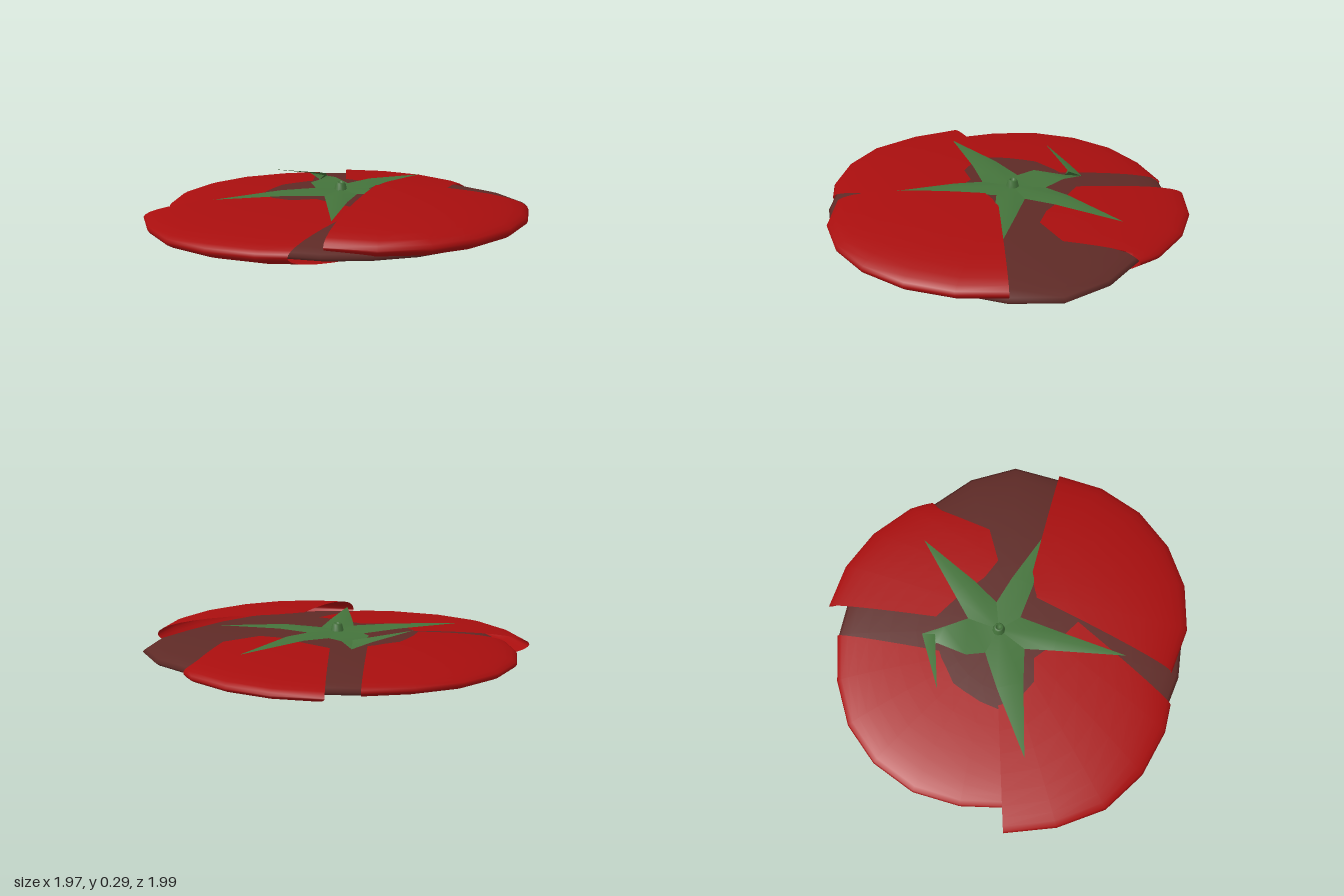
import * as THREE from 'three';

const mat = (color) => new THREE.MeshStandardMaterial({ color, side: THREE.DoubleSide });
const RED = mat(0xa80e0e), FLESH = mat(0x5e2a26), GREEN = mat(0x44733b);

function surface(points, index, material, name) {
  const g = new THREE.BufferGeometry();
  g.setAttribute('position', new THREE.Float32BufferAttribute(points, 3));
  g.setIndex(index);
  g.computeVertexNormals();
  const m = new THREE.Mesh(g, material);
  m.name = name;
  return m;
}

// Curved skin piece: each column runs from the top inner edge over the rim to the bottom inner edge.
function skin(name, { y, up, down, rim, top, bottom }) {
  const N = 9, rows = 2 * N + 1, pos = [], idx = [];
  rim.forEach((q, i) => {
    const R = Math.hypot(...q);
    for (let j = 0; j < rows; j++) {
      const k = Math.abs(j - N) / N;             // 0 at the rim, 1 at an inner edge
      const p = j < N ? top[i] : bottom[i];
      const s = k * k;
      const x = q[0] + (p[0] - q[0]) * s, z = q[1] + (p[1] - q[1]) * s;
      const f = Math.min(1, Math.hypot(x, z) / R);
      const h = Math.sqrt(1 - f * f) * (j < N ? up : -down);
      pos.push(x, y + h, z);
      if (i && j) {
        const a = (i - 1) * rows + j - 1, b = a + rows;
        idx.push(a, a + 1, b, b, a + 1, b + 1);
      }
    }
  });
  return surface(pos, idx, RED, name);
}

// Flattened core that bulges out where the skin has split.
function flesh() {
  const g = new THREE.SphereGeometry(1, 24, 16);
  const p = g.attributes.position;
  for (let i = 0; i < p.count; i++) {
    const x = p.getX(i), z = p.getZ(i), a = Math.atan2(z, x);
    const bump = x > 0 ? Math.abs(Math.sin(2 * a)) ** 3 * (z > 0 ? 0.12 : 0.05) : 0;
    const r = 0.89 + bump;
    p.setXYZ(i, x * r, 0.125 + p.getY(i) * 0.083, z * r);
  }
  g.computeVertexNormals();
  const m = new THREE.Mesh(g, FLESH);
  m.name = 'flesh';
  return m;
}

// Pointed leaf, two flat halves folded along a centre rib.
function leaf(v1, v2, tip, width, tipY) {
  const c = [0.06, -0.06];
  const dx = tip[0] - c[0], dz = tip[1] - c[1], L = Math.hypot(dx, dz);
  const at = (t, w) => [c[0] + dx * t - dz / L * w, c[1] + dz * t + dx / L * w];
  const P = ([x, z], y) => [x, y, z];
  const pos = [
    P(c, 0.23), P(v1, 0.225), P(at(0.45, -width), 0.232), P(at(0.45, 0), 0.245),
    P(at(0.45, width), 0.232), P(v2, 0.225), P(tip, tipY)].flat();
  return surface(pos, [0, 2, 1, 0, 3, 2, 0, 4, 3, 0, 5, 4, 3, 6, 2, 3, 4, 6], GREEN, 'leaf');
}

export function createModel() {
  const group = new THREE.Group();
  group.name = 'squashedTomato';
  group.add(flesh());

  group.add(skin('backSkin', {
    y: 0.125, up: 0.097, down: 0.09,
    rim: [[-0.61, -0.69], [-0.45, -0.84], [-0.23, -0.96], [0.02, -1], [0.26, -0.96], [0.48, -0.84], [0.67, -0.67]],
    top: [[-0.25, -0.36], [-0.15, -0.4], [-0.05, -0.42], [0.02, -0.43], [0.1, -0.4], [0.16, -0.38], [0.2, -0.36]],
    bottom: [[-0.15, -0.25], [-0.05, -0.22], [0.05, -0.25], [0.15, -0.3], [0.27, -0.35], [0.38, -0.42], [0.55, -0.58]],
  }));
  group.add(skin('rightSkin', {
    y: 0.122, up: 0.1, down: 0.09,
    rim: [[0.83, -0.59], [0.94, -0.37], [0.98, -0.13], [0.95, 0.12], [0.92, 0.18], [0.89, 0.23]],
    top: [[0.35, -0.24], [0.35, -0.1], [0.33, 0.1], [0.35, 0.22], [0.52, 0.32], [0.72, 0.21]],
    bottom: [[0.74, -0.4], [0.7, -0.22], [0.58, -0.05], [0.52, 0.12], [0.49, 0.3], [0.63, 0.45]],
  }));
  group.add(skin('leftSkin', {
    y: 0.12, up: 0.105, down: 0.12,
    rim: [[-0.7, -0.78], [-0.87, -0.57], [-0.98, -0.33], [-0.99, -0.07], [-0.92, 0.18], [-0.84, 0.31]],
    top: [[-0.23, -0.35], [-0.28, -0.25], [-0.27, -0.13], [-0.18, -0.04], [-0.2, 0.1], [-0.2, 0.27]],
    bottom: [[-0.32, -0.28], [-0.3, -0.18], [-0.24, -0.05], [-0.2, 0.1], [-0.18, 0.25], [-0.2, 0.4]],
  }));
  // Front piece, peeled upwards
  group.add(skin('frontSkinFlap', {
    y: 0.165, up: 0.128, down: 0.13,
    rim: [[-0.73, 0.43], [-0.63, 0.66], [-0.45, 0.84], [-0.23, 0.95], [0.02, 0.99], [0.27, 0.95], [0.49, 0.84]],
    top: [[0.03, 0.19], [0.03, 0.19], [0.04, 0.2], [0.06, 0.21], [0.09, 0.23], [0.12, 0.26], [0.15, 0.28]],
    bottom: [[-0.7, 0.43], [-0.5, 0.52], [-0.28, 0.44], [-0.1, 0.38], [0.08, 0.38], [0.25, 0.42], [0.4, 0.7]],
  }));

  // Leaves around the stem, sharing the notches between them
  const calyx = new THREE.Group();
  calyx.name = 'calyx';
  const notch = [[0.02, -0.2], [-0.11, -0.04], [0.03, 0.07], [0.18, 0.04], [0.22, -0.13]];
  calyx.add(
    leaf(notch[1], notch[0], [-0.52, -0.45], 0.07, 0.225),
    leaf(notch[2], notch[1], [-0.51, 0.31], 0.055, 0.225),
    leaf(notch[3], notch[2], [0.29, 0.56], 0.06, 0.215),
    leaf(notch[4], notch[3], [0.72, 0.02], 0.065, 0.21));
  // Leaf bent back on itself at its middle
  const folded = [
    0.06, 0.23, -0.06, 0.02, 0.225, -0.2, 0.22, 0.225, -0.13,
    0.08, 0.235, -0.28, 0.27, 0.235, -0.25,
    0.24, 0.215, -0.34, 0.33, 0.22, -0.36,
    0.27, 0.25, -0.32, 0.24, 0.245, -0.41, 0.04, 0.285, -0.52];
  calyx.add(surface(folded,
    [0, 2, 1, 1, 2, 3, 2, 4, 3, 3, 4, 5, 4, 6, 5, 5, 6, 7, 5, 8, 6, 6, 8, 7, 7, 8, 9], GREEN, 'foldedLeaf'));
  group.add(calyx);

  // Short hollow stem
  const profile = [[0.036, 0.22], [0.026, 0.262], [0.02, 0.27], [0.014, 0.266], [0.01, 0.25], [0, 0.25]];
  const stem = new THREE.Mesh(
    new THREE.LatheGeometry(profile.map(([x, y]) => new THREE.Vector2(x, y)), 10), GREEN);
  stem.position.set(0.06, 0, -0.06);
  stem.name = 'stem';
  group.add(stem);
  return group;
}
